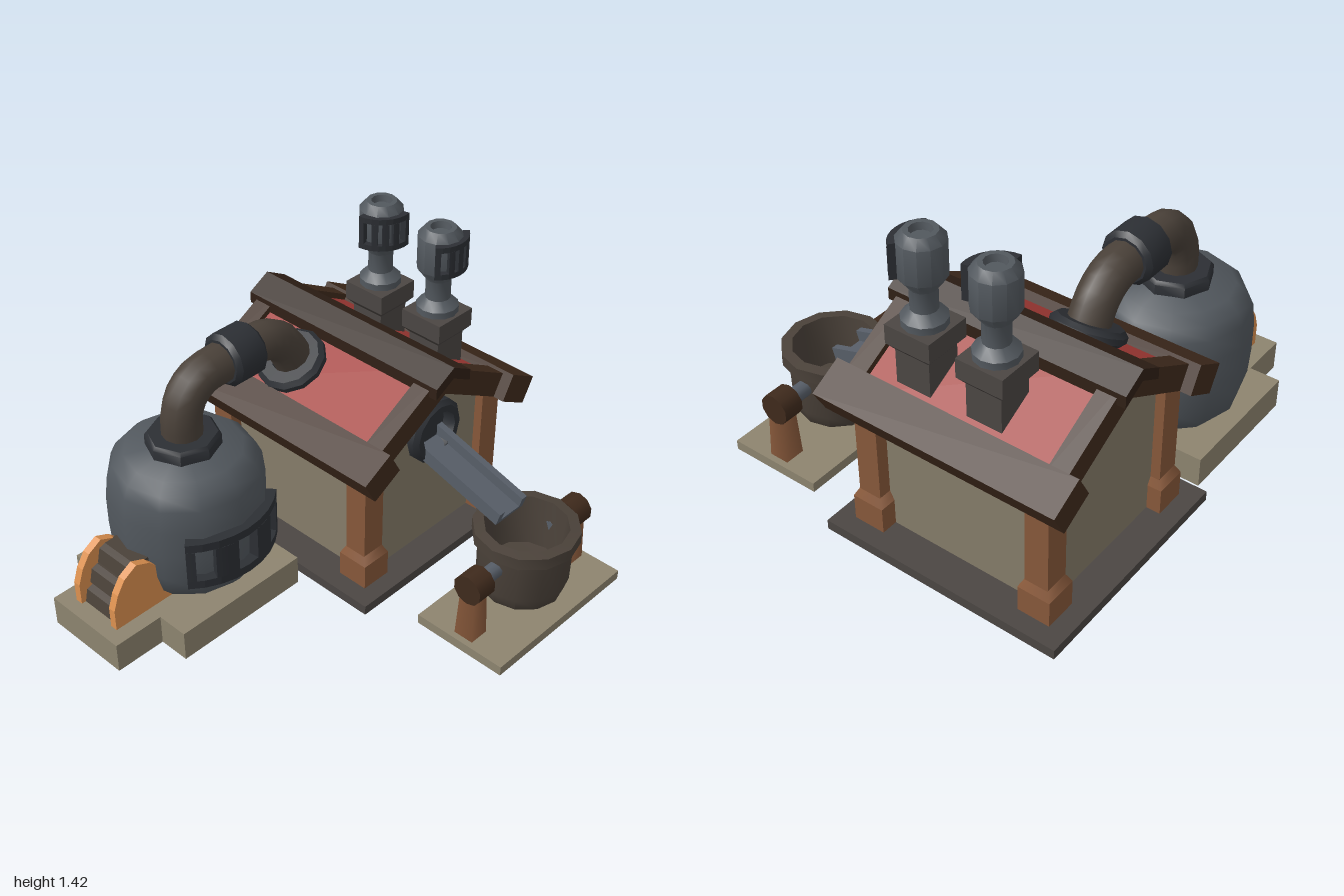
import * as THREE from 'three';
import { toCreasedNormals } from 'three/addons/utils/BufferGeometryUtils.js';

const COLORS = {
  red: 0xa23a35, ridge: 0x302016, darkWood: 0x3f2a1c, wood: 0x87583a, wall: 0x857c69, stone: 0x8d846f,
  slab: 0x4b4643, steel: 0x52585e, iron: 0x2c2f34, cast: 0x4a4139, copper: 0xdd9150, chute: 0x575e68,
};
const MATS = {};
for (const k in COLORS) MATS[k] = new THREE.MeshStandardMaterial({ color: COLORS[k] });
for (const k of ['stone', 'slab']) MATS[k].side = THREE.DoubleSide;

const MID = -0.46;    // z of the house ridge
const SLOPE = 0.554;  // roof fall per unit of z
const RAD = Math.PI / 180;

function add(parent, name, geometry, mat, x = 0, y = 0, z = 0) {
  const mesh = new THREE.Mesh(geometry, MATS[mat]);
  mesh.name = name;
  mesh.position.set(x, y, z);
  parent.add(mesh);
  return mesh;
}

// Box given by its limits on each axis
function box(parent, name, mat, x0, x1, y0, y1, z0, z1) {
  return add(parent, name, new THREE.BoxGeometry(x1 - x0, y1 - y0, z1 - z0), mat,
    (x0 + x1) / 2, (y0 + y1) / 2, (z0 + z1) / 2);
}

function polygon(points) {
  return new THREE.Shape(points.map(([a, b]) => new THREE.Vector2(a, b)));
}

// Outline of [z, y] points extruded along x
function prism(points, x0, x1) {
  const shape = polygon(points.map(([z, y]) => [-z, y]));
  const g = new THREE.ExtrudeGeometry(shape, { depth: x1 - x0, bevelEnabled: false });
  return g.rotateY(Math.PI / 2).translate(x0, 0, 0);
}

// Plate from an [x, z] outline, open underneath
function plate(points, h) {
  const shape = polygon(points.map(([x, z]) => [x, -z]));
  const solid = new THREE.ExtrudeGeometry(shape, { depth: h, bevelEnabled: false }).rotateX(-Math.PI / 2);
  const p = solid.attributes.position.array, n = solid.attributes.normal.array, kept = [];
  for (let i = 0; i < p.length; i += 9) if (n[i + 1] > -0.5) kept.push(...p.slice(i, i + 9));
  const open = new THREE.BufferGeometry();
  open.setAttribute('position', new THREE.Float32BufferAttribute(kept, 3));
  open.computeVertexNormals();
  return open;
}

// Inverted V that follows the roof: top and bottom height at the ridge, half width
function chevron(top, bottom, w, x0, x1) {
  const d = w * SLOPE;
  return prism([[MID, top], [MID + w, top - d], [MID + w, bottom - d], [MID, bottom],
    [MID - w, bottom - d], [MID - w, top - d]], x0, x1);
}

function lathe(points, sides = 12) {
  const g = new THREE.LatheGeometry(points.map(([r, y]) => new THREE.Vector2(r, y)), sides);
  return toCreasedNormals(g, 40 * RAD);
}

// Thick ring around y, with bevelled outer edges
function ring(inner, outer, h) {
  const b = 0.02;
  return lathe([[inner, 0], [outer - b, 0], [outer, b], [outer, h - b], [outer - b, h], [inner, h], [inner, 0]]);
}

// Square post section that tapers from width w0 to w1
function taper(w0, w1, h) {
  return new THREE.CylinderGeometry(w1 / Math.SQRT2, w0 / Math.SQRT2, h, 4).toNonIndexed()
    .rotateY(Math.PI / 4);
}

// Curved grille: two rails joined by bars, centred on +x; angles in degrees
function grille(r0, r1, height, rail, half, bars, shift = 0) {
  const group = new THREE.Group();
  const sector = (a0, a1, y, h) => {
    const s = new THREE.Shape();
    s.absarc(0, 0, r1, a0 * RAD, a1 * RAD, false);
    s.absarc(0, 0, r0, a1 * RAD, a0 * RAD, true);
    const g = new THREE.ExtrudeGeometry(s, { depth: h, bevelEnabled: false, curveSegments: 4 });
    add(group, 'grilleBar', g.rotateX(-Math.PI / 2), 'iron', shift, y, 0);
  };
  sector(-half, half, 0, rail);
  sector(-half, half, height - rail, rail);
  for (const [a, b] of bars) sector(a, b, rail, height - 2 * rail);
  return group;
}

function buildHouse() {
  const house = new THREE.Group();
  house.name = 'house';
  house.position.x = 0.003;
  add(house, 'floorSlab', plate([[-0.88, -0.985], [0.235, -0.985], [0.235, 0.065], [-0.88, 0.065]], 0.045), 'slab');
  const w = 0.37, eave = 0.88 - w * SLOPE;
  add(house, 'walls', prism([[MID - w, 0.046], [MID + w, 0.046], [MID + w, eave], [MID, 0.88], [MID - w, eave]],
    -0.735, 0.095), 'wall');
  // Corner posts with flared feet
  for (const x of [-0.725, 0.083]) for (const z of [MID - 0.372, MID + 0.372]) {
    box(house, 'post', 'wood', x - 0.053, x + 0.053, 0.18, 0.67, z - 0.055, z + 0.055);
    box(house, 'postFoot', 'wood', x - 0.073, x + 0.073, 0.046, 0.165, z - 0.072, z + 0.072);
    add(house, 'postShoulder', taper(0.146, 0.106, 0.04), 'wood', x, 0.185, z);
  }
  // Roof
  add(house, 'roofPanels', chevron(0.95, 0.87, 0.45, -0.77, 0.12), 'red');
  for (const x of [-0.83, 0.098]) add(house, 'vergeBeam', chevron(0.98, 0.855, 0.42, x, x + 0.085), 'darkWood');
  add(house, 'ridgeCap', chevron(1.003, 0.95, 0.105, -0.868, 0.222), 'ridge');
  for (const s of [-1, 1]) {
    const beam = add(house, 'eaveBeam', new THREE.BoxGeometry(1.113, 0.125, 0.165), 'darkWood',
      -0.322, 0.685, MID + s * 0.433);
    beam.rotation.x = s * 29 * RAD;
  }
  // Gable outlet and pouring chute
  add(house, 'outletRing', ring(0.1, 0.15, 0.07), 'iron', 0.093, 0.645, MID).rotation.z = -Math.PI / 2;
  add(house, 'outletDisc', new THREE.CylinderGeometry(0.11, 0.11, 0.01, 12), 'iron', 0.095, 0.645, MID).rotation.z = -Math.PI / 2;
  const a = 0.088, t = 0.03;
  const channel = prism([[-a, 0], [-a, -0.065], [a, -0.065], [a, 0], [a - t, 0], [a - t, -0.048], [t - a, -0.048], [t - a, 0]], 0, 0.565);
  add(house, 'chute', channel, 'chute', 0.033, 0.643, MID).rotation.z = -16.5 * RAD;
  return house;
}

function buildChimney(x, turn) {
  const chimney = new THREE.Group();
  chimney.name = 'chimney';
  chimney.position.set(x, 0, -0.725);
  box(chimney, 'stack', 'slab', -0.08, 0.08, 0.7, 0.93, -0.08, 0.08);
  add(chimney, 'stackFlare', taper(0.16, 0.21, 0.03), 'slab', 0, 0.925, 0);
  box(chimney, 'stackCap', 'slab', -0.105, 0.105, 0.94, 1.025, -0.105, 0.105);
  add(chimney, 'flue', lathe([[0.092, 1.02], [0.092, 1.055], [0.055, 1.09], [0.055, 1.18], [0.096, 1.235],
    [0.096, 1.385], [0.066, 1.42], [0.045, 1.42], [0.04, 1.39], [0, 1.39]]), 'steel');
  const vent = grille(0.11, 0.14, 0.15, 0.025, 50, [[-50, -40], [-25, -14], [-6, 6], [14, 25], [40, 50]], -0.025);
  vent.name = 'chimneyGrille';
  vent.position.y = 1.235;
  vent.rotation.y = turn;
  chimney.add(vent);
  return chimney;
}

function buildBoiler() {
  const boiler = new THREE.Group();
  boiler.name = 'boiler';
  boiler.position.set(-0.458, 0, 0.415);
  // T-shaped plinth
  add(boiler, 'plinth', plate([[-0.35, -0.298], [0.345, -0.298], [0.345, 0.352], [0.2, 0.352], [0.2, 0.585],
    [-0.207, 0.585], [-0.207, 0.352], [-0.35, 0.352]], 0.14), 'stone');
  // Vessel, collar and door
  add(boiler, 'vessel', lathe([[0, 0.11], [0.24, 0.11], [0.265, 0.145], [0.305, 0.19], [0.33, 0.28], [0.337, 0.4],
    [0.337, 0.53], [0.325, 0.63], [0.3, 0.685], [0.25, 0.73], [0, 0.755]]), 'steel');
  add(boiler, 'collar', lathe([[0.158, 0.72], [0.158, 0.785], [0.145, 0.8], [0.08, 0.8]], 8), 'iron');
  const door = grille(0.3, 0.372, 0.23, 0.038, 43, [[-43, -37], [-24, -8], [8, 24], [37, 43]]);
  door.name = 'boilerDoor';
  door.position.y = 0.275;
  boiler.add(door);
  // Feeder: two rounded cheeks with stepped slats between them
  const cheek = [[0.525, 0.11], [0.525, 0.24], [0.5, 0.31], [0.46, 0.37], [0.395, 0.408], [0.33, 0.38], [0.25, 0.3], [0.17, 0.11]];
  for (const x of [-0.13, 0.095]) add(boiler, 'feederCheek', prism(cheek, x, x + 0.035), 'copper');
  for (const [z, y] of [[0.48, 0.165], [0.445, 0.255], [0.395, 0.335]]) {
    add(boiler, 'feederSlat', prism([[z, y - 0.045], [z + 0.025, y - 0.03], [z + 0.01, y + 0.035], [z - 0.02, y + 0.045],
      [z - 0.2, y + 0.045], [z - 0.2, y - 0.045]], -0.1, 0.1), 'cast');
  }
  return boiler;
}

function buildPipe() {
  const pipe = new THREE.Group();
  pipe.name = 'steamPipe';
  pipe.position.x = -0.457;
  const path = new THREE.CatmullRomCurve3([[0.75, 0.415], [0.88, 0.415], [0.965, 0.382], [1.018, 0.31], [1.028, 0.22],
    [1.028, 0.1], [1.028, 0], [1.015, -0.07], [0.965, -0.145], [0.88, -0.2], [0.81, -0.235]]
    .map(([y, z]) => new THREE.Vector3(0, y, z)));
  add(pipe, 'pipe', new THREE.TubeGeometry(path, 22, 0.087, 12), 'cast');
  add(pipe, 'pipeClamp', ring(0.08, 0.118, 0.17), 'iron', 0, 1.03, 0.025).rotation.x = Math.PI / 2;
  add(pipe, 'roofFlange', ring(0.08, 0.155, 0.065), 'iron', 0, 0.815, -0.222).rotation.x = 29 * RAD;
  return pipe;
}

function buildCrucible() {
  const crucible = new THREE.Group();
  crucible.name = 'crucible';
  crucible.position.set(0.652, 0, MID);
  add(crucible, 'standPlate', plate([[-0.222, -0.405], [0.222, -0.405], [0.222, 0.405], [-0.222, 0.405]], 0.045), 'stone');
  add(crucible, 'pot', lathe([[0, 0.08], [0.14, 0.08], [0.18, 0.11], [0.197, 0.17], [0.2, 0.365], [0.227, 0.37],
    [0.227, 0.425], [0.18, 0.43], [0.155, 0.2], [0, 0.19]]), 'cast');
  for (const s of [-1, 1]) {
    add(crucible, 'standPost', taper(0.095, 0.075, 0.26), 'wood', 0, 0.15, s * 0.33);
    add(crucible, 'bearing', new THREE.CylinderGeometry(0.07, 0.07, 0.095, 10), 'darkWood', 0, 0.302, s * 0.325).rotation.x = Math.PI / 2;
    add(crucible, 'axle', new THREE.CylinderGeometry(0.036, 0.036, 0.14, 10), 'chute', 0, 0.302, s * 0.235).rotation.x = Math.PI / 2;
  }
  return crucible;
}

export function createModel() {
  const model = new THREE.Group();
  model.name = 'foundry';
  model.add(buildHouse(), buildChimney(-0.427, -38 * RAD), buildChimney(-0.098, 0),
    buildBoiler(), buildPipe(), buildCrucible());
  return model;
}
